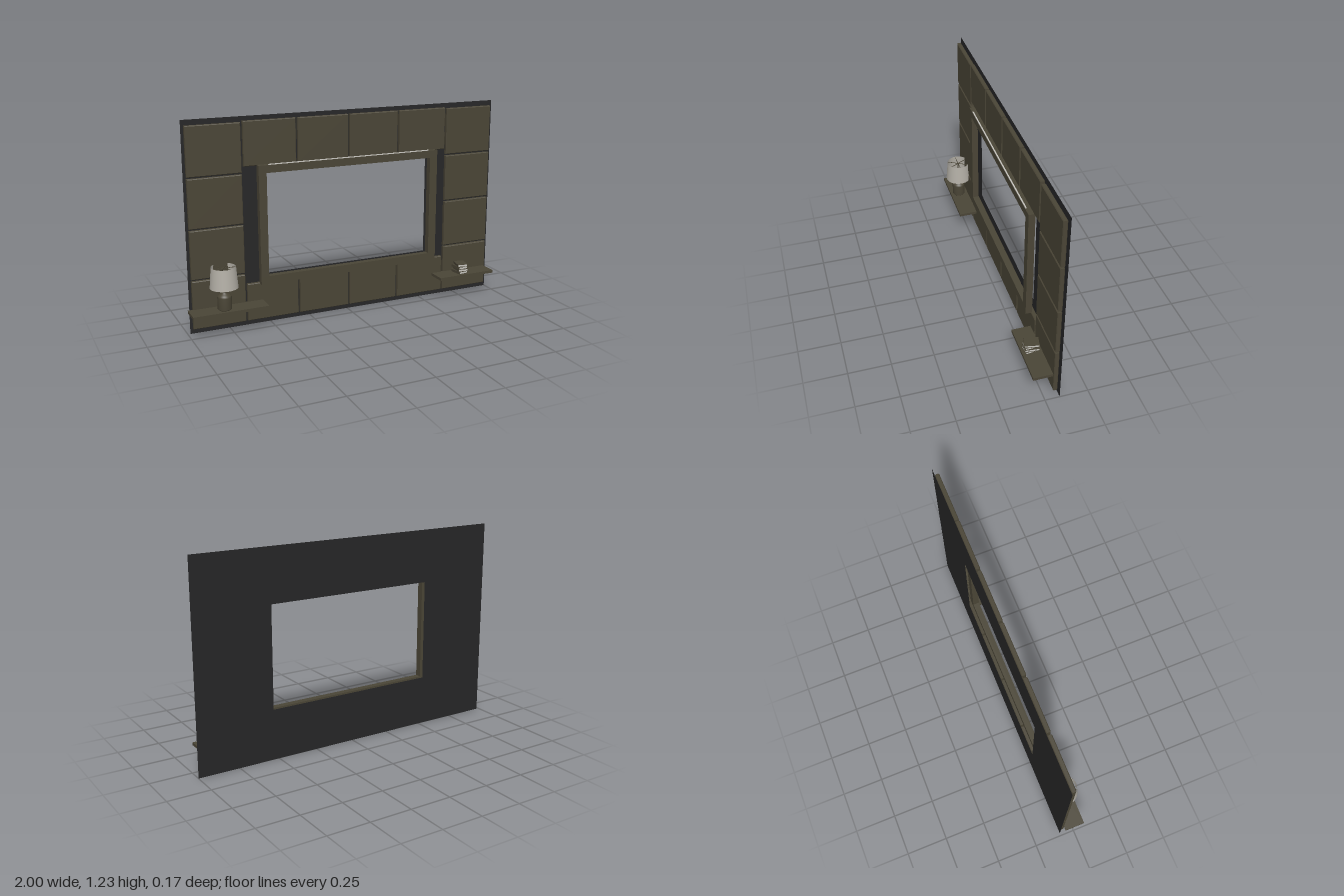
import * as THREE from 'three';

const mat = (name, color, side = THREE.FrontSide) => {
  const m = new THREE.MeshStandardMaterial({ color, side });
  m.name = name;
  return m;
};

export function createModel() {
  const model = new THREE.Group();
  model.name = 'wallUnit';
  const wood = mat('oliveBrown', 0x4a4536);
  const dark = mat('charcoal', 0x262627, THREE.DoubleSide);
  const fabric = mat('lampFabric', 0xb3afa6, THREE.DoubleSide);
  const paper = mat('paper', 0xc6c4be);

  const add = (parent, name, geometry, material) => {
    const mesh = new THREE.Mesh(geometry, material);
    mesh.name = name;
    parent.add(mesh);
    return mesh;
  };
  // box given by its lower and upper limits
  const box = (parent, name, x0, x1, y0, y1, z0, z1, material) => {
    const mesh = add(parent, name, new THREE.BoxGeometry(x1 - x0, y1 - y0, z1 - z0), material);
    mesh.position.set((x0 + x1) / 2, (y0 + y1) / 2, (z0 + z1) / 2);
    return mesh;
  };
  const rect = (Type, x0, x1, y0, y1) => new Type([
    new THREE.Vector2(x0, y0), new THREE.Vector2(x1, y0),
    new THREE.Vector2(x1, y1), new THREE.Vector2(x0, y1),
  ]);

  // Backing sheet with the screen opening
  const sheet = rect(THREE.Shape, -0.985, 1, 0, 1.23);
  sheet.holes.push(rect(THREE.Path, -0.523, 0.53, 0.302, 0.91));
  add(model, 'backing', new THREE.ShapeGeometry(sheet), dark).position.z = -0.085;

  // Bevelled wall panels around the opening
  const panels = new THREE.Group();
  panels.name = 'panels';
  model.add(panels);
  const bevel = 0.004;
  const panel = (x0, x1, y0, y1) => {
    const shape = rect(THREE.Shape, x0 + bevel, x1 - bevel, y0 + bevel, y1 - bevel);
    const geometry = new THREE.ExtrudeGeometry(shape, {
      depth: 0.018, bevelEnabled: true, bevelSize: bevel, bevelThickness: bevel, bevelSegments: 1,
    });
    add(panels, 'panel', geometry, wood).position.z = -0.076;
  };
  const pitchX = 0.3265, pitchY = 0.294;
  for (let col = 0; col < 6; col++) {
    const x0 = -0.971 + col * pitchX, x1 = x0 + pitchX - 0.012;
    if (col === 0 || col === 5) {
      for (let row = 0; row < 4; row++) {
        const y0 = 0.034 + row * pitchY;
        panel(x0, x1, y0, y0 + pitchY - 0.01);
      }
    } else {
      panel(x0, x1, 0.034, 0.258);
      panel(x0, x1, 0.95, 1.206);
    }
  }

  // Frame standing slightly clear of the backing
  const frame = new THREE.Group();
  frame.name = 'frame';
  model.add(frame);
  box(frame, 'bottomRail', -0.57, 0.58, 0.255, 0.302, -0.06, -0.022, wood);
  box(frame, 'topRail', -0.57, 0.58, 0.91, 0.955, -0.06, -0.022, wood);
  box(frame, 'rightStile', -0.57, -0.523, 0.302, 0.91, -0.06, -0.022, wood);
  box(frame, 'leftStile', 0.53, 0.58, 0.302, 0.91, -0.06, -0.022, wood);
  box(frame, 'lightStrip', -0.51, 0.52, 0.955, 0.96, -0.031, -0.024, paper);

  // Shelves
  box(model, 'rightShelf', -1, -0.555, 0.136, 0.153, -0.06, 0.06, wood);
  box(model, 'leftShelf', 0.58, 0.965, 0.136, 0.153, -0.06, 0.06, wood);

  // Table lamp
  const lamp = new THREE.Group();
  lamp.name = 'lamp';
  lamp.position.set(-0.802, 0.153, 0.004);
  model.add(lamp);
  const lathe = (pts) => new THREE.LatheGeometry(pts.map(([r, y]) => new THREE.Vector2(r, y)), 32);
  add(lamp, 'lampBase', lathe([
    [0, 0], [0.037, 0], [0.041, 0.005], [0.041, 0.073], [0.038, 0.083], [0.027, 0.091],
    [0.017, 0.099], [0.013, 0.106], [0.013, 0.116], [0, 0.118],
  ]), wood);
  add(lamp, 'shade', lathe([[0.081, 0.13], [0.071, 0.252]]), fabric);
  const stem = add(lamp, 'stem', new THREE.CylinderGeometry(0.004, 0.004, 0.13, 10), wood);
  stem.position.y = 0.18;
  for (let i = 0; i < 3; i++) {
    const spoke = add(lamp, 'shadeSpoke', new THREE.BoxGeometry(0.142, 0.003, 0.003), wood);
    spoke.position.y = 0.243;
    spoke.rotation.y = i * Math.PI / 3;
  }

  // Stack of books, each turned a little
  const books = new THREE.Group();
  books.name = 'books';
  books.position.set(0.755, 0.153, 0.002);
  model.add(books);
  [0.12, -0.1, 0.05, -0.2].forEach((turn, i) => {
    const book = new THREE.Group();
    book.name = 'book';
    book.position.set(i % 2 ? 0.003 : -0.003, i * 0.0155, 0);
    book.rotation.y = turn;
    books.add(book);
    const w = 0.032, d = 0.042;
    box(book, 'backCover', -w, w, 0, 0.002, -d, d, wood);
    box(book, 'frontCover', -w, w, 0.0135, 0.0155, -d, d, wood);
    box(book, 'spine', -w, -w + 0.002, 0.002, 0.0135, -d, d, wood);
    box(book, 'pages', -w + 0.002, w - 0.002, 0.002, 0.0135, -d + 0.002, d - 0.002, paper);
  });

  return model;
}
